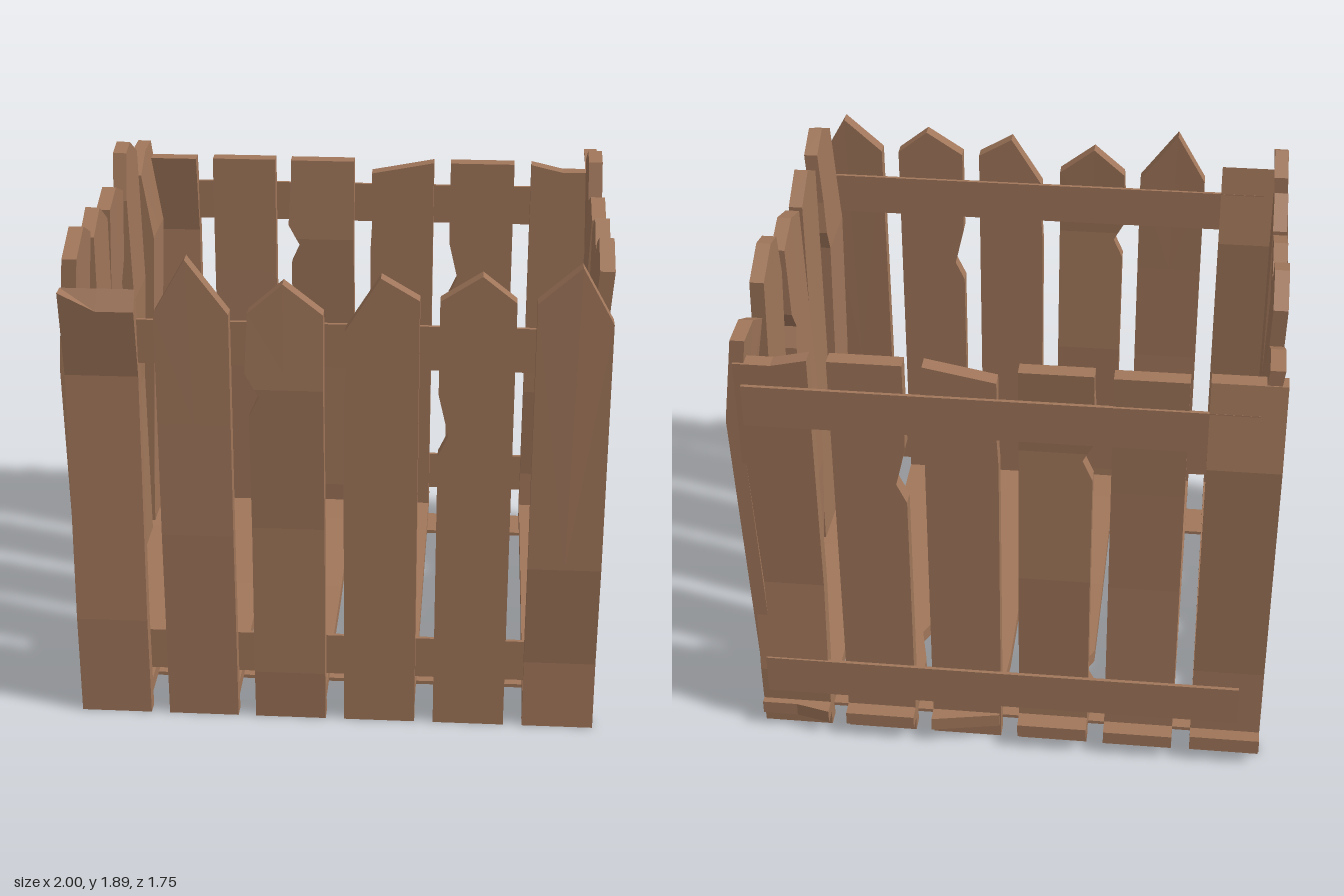
import * as THREE from 'three';

const wood = new THREE.MeshStandardMaterial({ color: 0xa0765a });
wood.name = 'brown wood';

// Linear lookup in a list of [position, offset] pairs
function lookup(table, y) {
  if (!table || !table.length) return 0;
  if (y <= table[0][0]) return table[0][1];
  for (let i = 1; i < table.length; i++) {
    const [a, va] = table[i - 1], [b, vb] = table[i];
    if (y <= b) return va + (vb - va) * (y - a) / (b - a);
  }
  return table[table.length - 1][1];
}

// Warped plank: rows of corners up the board, closed by a fan to its ragged top
function plankGeometry({ x0, x1, y0 = 0, left = [], right = [], bend = [], top, topBack = top }, thick) {
  const limit = Math.min(...top.map(p => p[1])) - 0.02;
  const ys = [...left, ...right, ...bend].map(p => p[0]).filter(y => y > y0 + 0.01 && y < limit);
  const rows = [y0, ...new Set(ys)].sort((a, b) => a - b);
  const L = rows.map(y => [x0 + lookup(left, y), y]);
  const R = rows.map(y => [x1 + lookup(right, y), y]);
  const pos = [];
  const at = ([x, y], front) => [x, y, lookup(bend, y) + (front ? thick : 0)];
  const tri = (a, b, c) => pos.push(...a, ...b, ...c);
  const quad = (a, b, c, d) => { tri(a, b, c); tri(a, c, d); };
  const n = rows.length - 1;

  for (let i = 0; i < n; i++) {
    quad(at(L[i], 1), at(R[i], 1), at(R[i + 1], 1), at(L[i + 1], 1));
    quad(at(R[i], 0), at(L[i], 0), at(L[i + 1], 0), at(R[i + 1], 0));
  }
  const mid = [(L[n][0] + R[n][0]) / 2, rows[n]];
  const fan = t => [R[n], ...[...t].reverse(), L[n]];
  const f = fan(top), b = fan(topBack);
  for (let i = 0; i < f.length - 1; i++) {
    tri(at(mid, 1), at(f[i], 1), at(f[i + 1], 1));
    tri(at(mid, 0), at(b[i + 1], 0), at(b[i], 0));
  }
  // Edge band all the way round
  const ring = t => [...R, ...[...t].reverse(), ...[...L].reverse()];
  const rf = ring(top), rb = ring(topBack);
  rf.forEach((p, i) => {
    const j = (i + 1) % rf.length;
    quad(at(p, 1), at(rb[i], 0), at(rb[j], 0), at(rf[j], 1));
  });
  const g = new THREE.BufferGeometry();
  g.setAttribute('position', new THREE.Float32BufferAttribute(pos, 3));
  g.computeVertexNormals();
  return g;
}

function panel(name, planks, thick, railed) {
  const group = new THREE.Group();
  group.name = name;
  planks.forEach((spec, i) => {
    const mesh = new THREE.Mesh(plankGeometry(spec, thick), wood);
    mesh.name = `${name}Plank${i + 1}`;
    group.add(mesh);
  });
  // Thin cross rails on the rear face
  if (railed) for (const y of [0.248, 1.503]) {
    const rail = new THREE.Mesh(new THREE.BoxGeometry(1.82, 0.165, 0.014), wood);
    rail.name = `${name}Rail`;
    rail.position.set(0.02, y, -0.006);
    group.add(rail);
  }
  return group;
}

// Six planks shared by the front, back and floor
const widePlanks = [
  { x0: -0.98, x1: -0.715, bend: [[0, 0], [0.4, 0.005], [1.37, -0.045], [1.7, 0.005]] },
  { x0: -0.645, x1: -0.382, bend: [[0, 0], [0.77, 0.012], [1.21, 0.005], [1.7, -0.005]] },
  { x0: -0.315, x1: -0.05, left: [[1.25, 0], [1.33, 0.037], [1.42, -0.012], [1.62, 0]],
    bend: [[0, 0], [0.2, 0.01], [0.8, -0.005], [1.36, 0.02], [1.7, 0]] },
  { x0: 0.02, x1: 0.285, left: [[1.3, 0], [1.45, 0.008], [1.56, 0.005]] },
  { x0: 0.355, x1: 0.62, left: [[1.11, 0], [1.19, 0.037], [1.35, 0]] },
  { x0: 0.69, x1: 0.955, bend: [[0, 0], [0.27, -0.01], [0.68, 0.022], [1.7, 0]] },
];
const peakedTops = [
  [[-0.98, 1.7], [-0.85, 1.63], [-0.715, 1.63]],
  [[-0.645, 1.63], [-0.53, 1.83], [-0.382, 1.63]],
  [[-0.315, 1.64], [-0.19, 1.75], [-0.05, 1.64]],
  [[0.025, 1.58], [0.15, 1.78], [0.285, 1.7]],
  [[0.355, 1.7], [0.5, 1.795], [0.62, 1.7]],
  [[0.69, 1.7], [0.84, 1.835], [0.955, 1.63]],
];
const flatTops = widePlanks.map(p => [[p.x0, 1.7], [p.x1, 1.7]]);
flatTops[3] = [[0.025, 1.65], [0.285, 1.7]];
flatTops[5] = [[0.69, 1.7], [0.82, 1.67], [0.955, 1.67]];

// Five taller planks shared by both sides
const sidePlanks = [
  { x0: -0.78, x1: -0.51, right: [[1.39, 0], [1.47, 0.02], [1.6, 0.003]],
    bend: [[0.1, 0], [0.75, -0.02], [1.39, -0.03], [1.8, 0]],
    top: [[-0.78, 1.8], [-0.63, 1.87], [-0.51, 1.81]] },
  { x0: -0.46, x1: -0.19, top: [[-0.46, 1.77], [-0.325, 1.84], [-0.185, 1.75]] },
  { x0: -0.13, x1: 0.14, right: [[1.31, 0], [1.385, -0.04], [1.47, 0.015]],
    bend: [[0.1, 0], [0.6, -0.028], [0.83, -0.03], [1.75, 0]],
    top: [[-0.13, 1.765], [0.01, 1.81], [0.155, 1.75]] },
  { x0: 0.205, x1: 0.472, right: [[0.1, 0], [1.27, 0.008], [1.8, 0.025]],
    bend: [[0.1, 0], [0.83, -0.005], [1.27, 0.015], [1.8, 0]],
    top: [[0.205, 1.69], [0.26, 1.87], [0.35, 1.89], [0.497, 1.81]] },
  { x0: 0.54, x1: 0.81, bend: [[0.1, 0], [0.3, 0.005], [1.42, 0.047], [1.69, 0.005]],
    top: [[0.54, 1.69], [0.67, 1.76], [0.81, 1.76]] },
].map(p => ({ ...p, y0: 0.1 }));

export function createModel() {
  const model = new THREE.Group();
  model.name = 'openCrate';

  // Front with ragged peaks; the first board is chipped on its outer edge
  const frontSpecs = widePlanks.map((p, i) => ({ ...p, top: peakedTops[i] }));
  frontSpecs[0].topBack = [[-0.98, 1.7], [-0.85, 1.7], [-0.715, 1.7]];
  const front = panel('front', frontSpecs, 0.055, true);
  front.position.z = 0.79;

  const flatSpecs = widePlanks.map((p, i) => ({ ...p, top: flatTops[i] }));
  const back = panel('back', flatSpecs, 0.06, true);
  back.position.z = -0.82;

  // Floor is the same panel laid down
  const floor = panel('floor', flatSpecs, 0.055, true);
  floor.rotation.x = -Math.PI / 2;
  floor.position.set(0, 0.06, 0.82);

  model.add(front, back, floor);
  for (const [name, x] of [['leftSide', 0.9], ['rightSide', -0.97]]) {
    const side = panel(name, sidePlanks, 0.053, false);
    side.rotation.y = Math.PI / 2;
    side.position.x = x;
    model.add(side);
  }
  return model;
}
